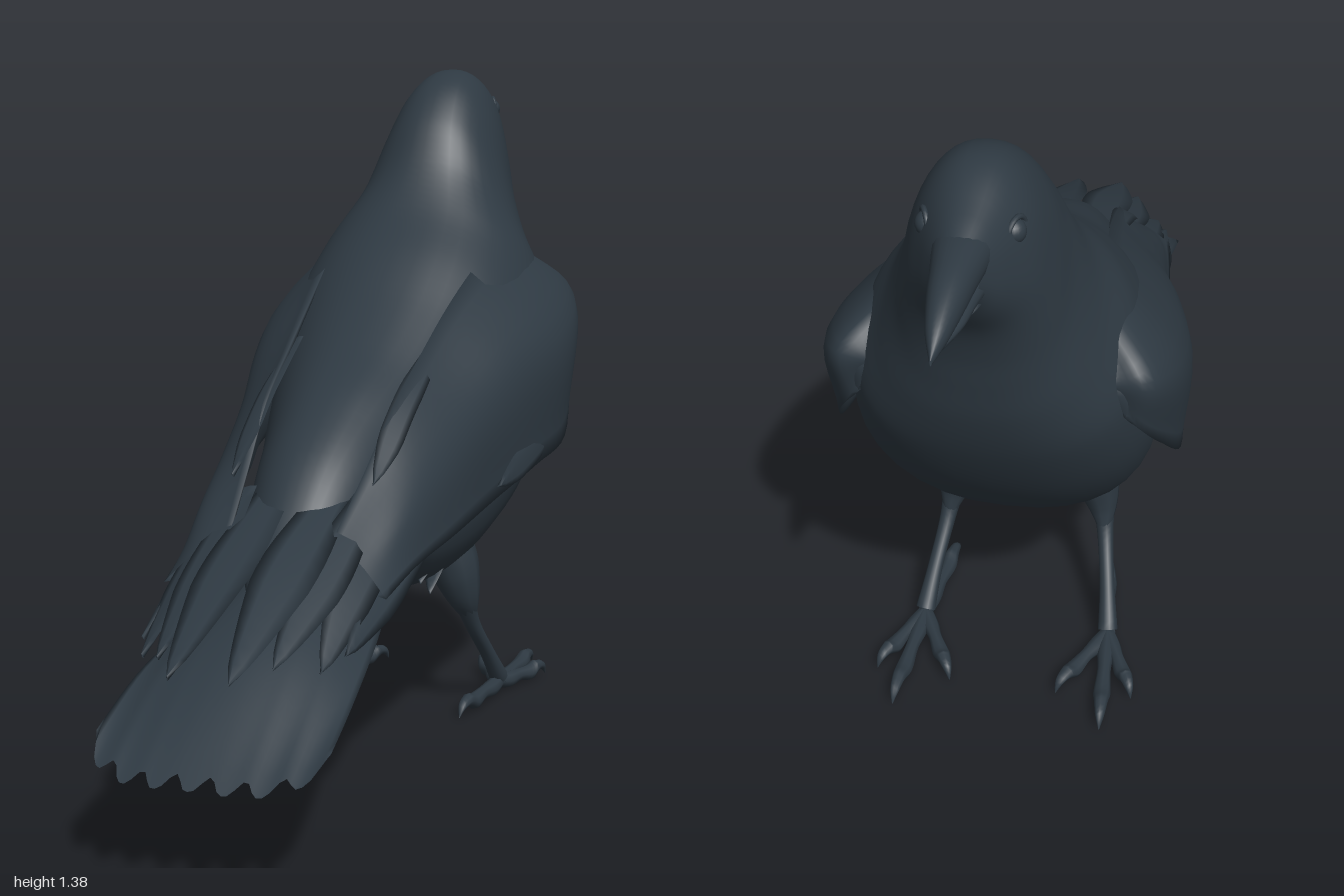
import * as THREE from 'three';

const V = (p) => new THREE.Vector3(...p);
const curve = (pts) => new THREE.CatmullRomCurve3(pts.map(V));
const plumage = new THREE.MeshStandardMaterial({ color: 0x2e3942, side: THREE.DoubleSide });
plumage.name = 'dark slate plumage';

// Skin a list of closed rings of points
function loft(name, rings) {
  const n = rings[0].length, index = [];
  for (let i = 0; i < rings.length - 1; i++) {
    for (let j = 0; j < n; j++) {
      const a = i * n + j, b = i * n + (j + 1) % n;
      index.push(a, a + n, b + n, a, b + n, b);
    }
  }
  const geo = new THREE.BufferGeometry().setFromPoints(rings.flat());
  geo.setIndex(index);
  geo.computeVertexNormals();
  const mesh = new THREE.Mesh(geo, plumage);
  mesh.name = name;
  return mesh;
}

// Rounded hull from stations [topZ, topY, bottomZ, bottomY, halfWidth]; egg widens the lower half
function hull(name, stations, steps, sides, power, egg = 0) {
  const top = curve(stations.map((s) => [0, s[1], s[0]]));
  const bottom = curve(stations.map((s) => [0, s[3], s[2]]));
  const width = curve(stations.map((s, i) => [s[4], i * 0.1, 0]));
  const shape = (v) => Math.sign(v) * Math.abs(v) ** power;
  const rings = [];
  for (let i = 0; i <= steps; i++) {
    const t = i / steps, a = top.getPoint(t), b = bottom.getPoint(t);
    const mid = a.clone().add(b).multiplyScalar(0.5), half = a.clone().sub(mid);
    const w = Math.max(width.getPoint(t).x, 0.002);
    rings.push(Array.from({ length: sides }, (_, j) => {
      const ang = (j / sides) * Math.PI * 2;
      const p = mid.clone().addScaledVector(half, shape(Math.cos(ang)));
      p.x = w * shape(Math.sin(ang)) * (1 - egg * Math.cos(ang));
      return p;
    }));
  }
  return loft(name, rings);
}

// Tube whose radius follows the given list
function taper(name, pts, radii, steps = 16, sides = 10) {
  const path = curve(pts), frames = path.computeFrenetFrames(steps);
  const rad = curve(radii.map((r, i) => [r, i * 0.1, 0]));
  const rings = [];
  for (let i = 0; i <= steps; i++) {
    const c = path.getPoint(i / steps), r = Math.max(rad.getPoint(i / steps).x, 0.001);
    rings.push(Array.from({ length: sides }, (_, j) => {
      const a = (j / sides) * Math.PI * 2;
      return c.clone().addScaledVector(frames.normals[i], r * Math.cos(a))
        .addScaledVector(frames.binormals[i], -r * Math.sin(a));
    }));
  }
  return loft(name, rings);
}

// Thin pointed feather through root, middle and tip
function feather(name, root, mid, tip, width, roll = 0, point = 0.25) {
  const path = curve([root, mid, tip]), steps = 14, rings = [];
  const side = new THREE.Vector3(Math.cos(roll), -Math.sin(roll), 0);
  const up = new THREE.Vector3(Math.sin(roll), Math.cos(roll), 0);
  const section = [[-0.5, 0.004], [0.5, 0.004], [1, 0], [0.5, -0.004], [-0.5, -0.004], [-1, 0]];
  for (let i = 0; i <= steps; i++) {
    const t = i / steps, c = path.getPoint(t);
    const w = width * Math.min(1, 0.6 + t) * Math.min(1, ((1 - t) / point) ** 0.7) + 0.001;
    rings.push(section.map(([s, h]) => c.clone().addScaledVector(side, s * w).addScaledVector(up, h)));
  }
  return loft(name, rings);
}

// Folded wing from stations of upper edge, bulge and lower edge
function wing() {
  const stations = [
    [[0.22, 0.92, -0.53], [0.23, 0.89, -0.545], [0.23, 0.86, -0.54]],
    [[0.2, 0.985, -0.46], [0.285, 0.9, -0.54], [0.27, 0.79, -0.53]],
    [[0.18, 1.015, -0.36], [0.328, 0.87, -0.45], [0.31, 0.7, -0.46]],
    [[0.165, 0.965, -0.19], [0.335, 0.82, -0.28], [0.335, 0.59, -0.33]],
    [[0.15, 0.895, -0.03], [0.295, 0.77, -0.08], [0.315, 0.555, -0.14]],
    [[0.14, 0.82, 0.12], [0.255, 0.69, 0.1], [0.275, 0.515, 0.05]],
    [[0.13, 0.735, 0.28], [0.225, 0.62, 0.28], [0.25, 0.485, 0.27]],
    [[0.115, 0.625, 0.42], [0.2, 0.55, 0.45], [0.23, 0.465, 0.46]],
    [[0.1, 0.525, 0.56], [0.16, 0.49, 0.58], [0.215, 0.435, 0.6]],
  ];
  const edges = [0, 1, 2].map((k) => curve(stations.map((s) => s[k])));
  const steps = 40, n = 12, rings = [];
  for (let i = 0; i <= steps; i++) {
    const t = i / steps;
    const section = new THREE.CatmullRomCurve3(edges.map((e) => e.getPoint(t)));
    const outer = section.getPoints(n);
    const inner = outer.slice(1, n).reverse().map((p, k) => {
      const d = 0.012 + 0.03 * (1 - t) * Math.sin(((k + 1) / n) * Math.PI);
      return p.clone().add(new THREE.Vector3(-d, -d * 0.4, 0));
    });
    rings.push([...outer, ...inner]);
  }
  return loft('foldedWing', rings);
}

// Arched tail sheet with a ragged rounded end
function tail() {
  const spine = curve([[0.1, 0.49, 0.2], [0.165, 0.45, 0.45], [0.205, 0.365, 0.72], [0.215, 0.195, 1.005]]);
  const steps = 24, n = 44, rings = [];
  for (let i = 0; i <= steps; i++) {
    const t = i / steps;
    const row = Array.from({ length: n + 1 }, (_, j) => {
      const u = (j / n) * 2 - 1;
      const jag = 0.035 * Math.abs(Math.sin(u * 11)) ** 3;
      const p = spine.getPoint(t * (1 - 0.09 * u ** 4 - jag));
      return new THREE.Vector3(p.x * u, p.y - 0.09 * (1 - 0.8 * t ** 3) * u * u, p.z);
    });
    const under = row.slice(1, n).reverse().map((p) => p.clone().add(new THREE.Vector3(0, -0.012 * (1.2 - t), 0)));
    rings.push([...row, ...under]);
  }
  return loft('tail', rings);
}

// Everything that exists once per side
function sideParts() {
  const g = new THREE.Group();
  g.add(wing());
  const flight = [
    [[0.06, 0.6, 0.38], [0.056, 0.49, 0.68], [0.055, 0.365, 0.955], 0.056, 0.15],
    [[0.125, 0.58, 0.42], [0.115, 0.475, 0.66], [0.105, 0.375, 0.88], 0.045, 0.35],
    [[0.175, 0.54, 0.42], [0.16, 0.46, 0.62], [0.165, 0.355, 0.81], 0.046, 0.6],
    [[0.215, 0.5, 0.36], [0.2, 0.44, 0.57], [0.19, 0.37, 0.75], 0.04, 0.95],
  ];
  flight.forEach((f) => g.add(feather('flightFeather', ...f, 0.45)));
  // Overlapping feathers along the upper and lower wing edges
  g.add(feather('innerWingFeather', [0.15, 0.825, 0.05], [0.145, 0.735, 0.25], [0.14, 0.61, 0.44], 0.025, 0.5));
  g.add(feather('lowerWingFeather', [0.32, 0.625, -0.3], [0.312, 0.59, -0.13], [0.285, 0.545, 0.06], 0.028, 1.4));

  // Eye with a thin lid ring
  const eye = new THREE.Mesh(new THREE.SphereGeometry(0.023, 20, 14), plumage);
  eye.position.set(0.07, 1.295, -0.68);
  eye.name = 'eye';
  const lid = new THREE.Mesh(new THREE.TorusGeometry(0.025, 0.005, 8, 24), plumage);
  lid.position.set(0.076, 1.295, -0.68);
  lid.rotation.y = Math.PI / 2 + 0.4;
  lid.name = 'eyelid';
  g.add(eye, lid);

  // Leg and foot
  g.add(taper('thigh', [[0.1, 0.45, -0.11], [0.138, 0.335, -0.13], [0.158, 0.265, -0.135], [0.168, 0.21, -0.16]],
    [0.055, 0.055, 0.038, 0.016]));
  g.add(taper('shank', [[0.163, 0.25, -0.135], [0.172, 0.19, -0.17], [0.187, 0.11, -0.24], [0.198, 0.04, -0.3]],
    [0.024, 0.017, 0.016, 0.021]));
  const toes = [[0.215, -0.555], [0.112, -0.47], [0.268, -0.46], [0.17, -0.07]];
  toes.forEach(([x, z]) => {
    const at = (t, y) => [0.198 + (x - 0.198) * t, y, -0.3 + (z + 0.3) * t];
    g.add(taper('toe', [at(-0.05, 0.032), at(0.2, 0.025), at(0.42, 0.028), at(0.66, 0.025), at(0.8, 0.036), at(0.93, 0.03), at(1, 0.01)],
      [0.014, 0.018, 0.014, 0.018, 0.014, 0.009, 0.001], 24, 8));
  });
  return g;
}

export function createModel() {
  const model = new THREE.Group();
  model.name = 'perchingBird';

  model.add(hull('bodyAndHead', [
    [-0.79, 1.325, -0.8, 1.235, 0.036], [-0.72, 1.352, -0.765, 1.175, 0.068],
    [-0.6, 1.385, -0.725, 1.11, 0.106], [-0.5, 1.355, -0.7, 1.035, 0.132],
    [-0.41, 1.275, -0.685, 0.96, 0.156], [-0.345, 1.17, -0.665, 0.87, 0.196],
    [-0.265, 1.085, -0.615, 0.745, 0.258], [-0.14, 0.995, -0.5, 0.56, 0.29],
    [-0.01, 0.9, -0.35, 0.41, 0.275], [0.12, 0.82, -0.12, 0.32, 0.235],
    [0.28, 0.74, 0.06, 0.31, 0.185], [0.43, 0.64, 0.25, 0.38, 0.14],
    [0.58, 0.48, 0.5, 0.4, 0.08], [0.68, 0.385, 0.66, 0.37, 0.01],
  ], 72, 40, 0.85, 0.15));

  // Beak: upper part overhangs the lower part
  model.add(hull('upperBeak', [
    [-0.7, 1.335, -0.71, 1.25, 0.058], [-0.8, 1.332, -0.81, 1.25, 0.042],
    [-0.88, 1.322, -0.88, 1.25, 0.032], [-0.95, 1.297, -0.95, 1.251, 0.019], [-1, 1.262, -0.998, 1.25, 0.002],
  ], 20, 20, 0.95));
  model.add(hull('lowerBeak', [
    [-0.71, 1.27, -0.72, 1.2, 0.054], [-0.81, 1.268, -0.81, 1.222, 0.039],
    [-0.89, 1.264, -0.89, 1.235, 0.029], [-0.965, 1.258, -0.965, 1.246, 0.006],
  ], 14, 18, 0.95));

  model.add(tail());

  // Ragged belly fringe and throat tufts
  for (let i = 0; i < 20; i++) {
    const a = (i / 20) * Math.PI * 2, x = 0.14 * Math.sin(a), z = 0.03 + 0.15 * Math.cos(a);
    const y = 0.37 + 1.2 * x * x + 0.3 * Math.max(0, z - 0.03);
    model.add(feather('bellyFeather', [x, y + 0.03, z - 0.1], [x, y - 0.02, z - 0.03],
      [x, y - 0.06 - 0.02 * (i % 2), z + 0.03], 0.034, x * -3, 0.6));
  }
  for (let i = -1; i <= 1; i++) {
    model.add(feather('throatTuft', [i * 0.022, 1.205, -0.75], [i * 0.022, 1.215, -0.785],
      [i * 0.02, 1.208, -0.82 + 0.015 * Math.abs(i)], 0.014, 0, 0.6));
  }

  const left = sideParts();
  left.name = 'leftSide';
  const right = sideParts();
  right.name = 'rightSide';
  right.scale.x = -1;
  model.add(left, right);
  return model;
}
